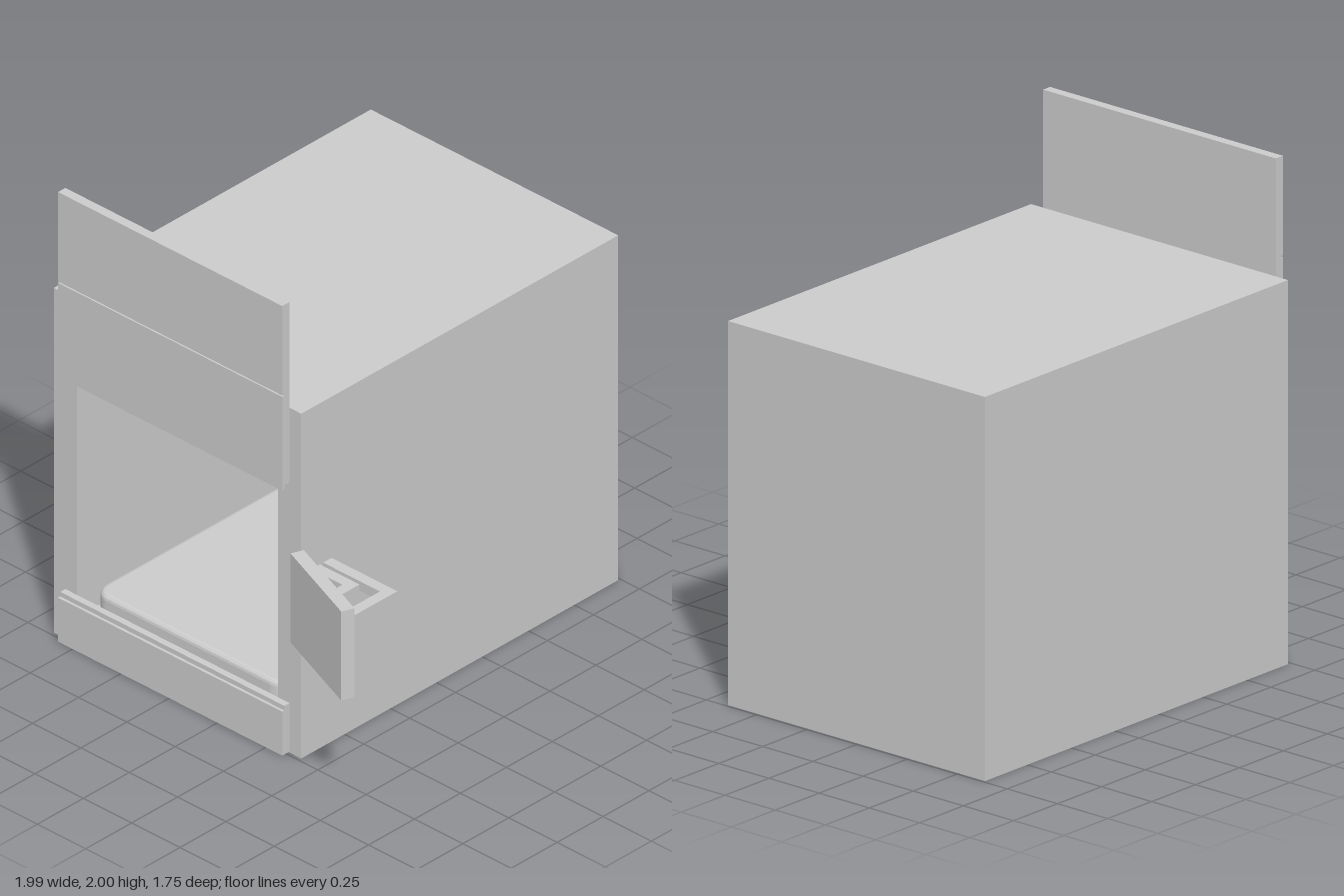
import * as THREE from 'three';

const material = new THREE.MeshStandardMaterial({ color: 0xcccccc });

function addMesh(parent, name, geometry) {
  const mesh = new THREE.Mesh(geometry, material);
  mesh.name = name;
  parent.add(mesh);
  return mesh;
}

// Box given by its minimum and maximum corners
function addBox(parent, name, [x0, y0, z0], [x1, y1, z1]) {
  const mesh = addMesh(parent, name, new THREE.BoxGeometry(x1 - x0, y1 - y0, z1 - z0));
  mesh.position.set((x0 + x1) / 2, (y0 + y1) / 2, (z0 + z1) / 2);
  return mesh;
}

const rectPoints = (x0, y0, x1, y1) => [[x0, y0], [x1, y0], [x1, y1], [x0, y1]].map(p => new THREE.Vector2(...p));

// Rounded rectangle centred on the origin
function roundedRect(w, h, r) {
  const s = new THREE.Shape();
  const x = w / 2 - r, y = h / 2 - r;
  s.absarc(x, y, r, 0, Math.PI / 2);
  s.absarc(-x, y, r, Math.PI / 2, Math.PI);
  s.absarc(-x, -y, r, Math.PI, Math.PI * 1.5);
  s.absarc(x, -y, r, Math.PI * 1.5, Math.PI * 2);
  s.closePath();
  return s;
}

export function createModel() {
  const model = new THREE.Group();
  model.name = 'chamberWithLiftDoor';

  // Hollow cabinet, open on the -x side
  const cabinet = new THREE.Group();
  cabinet.name = 'cabinet';
  model.add(cabinet);
  const wall = 0.12, xOpen = -0.735, xEnd = 0.99;
  const section = new THREE.Shape(rectPoints(-0.88, 0, 0.40, 1.53));
  section.holes.push(new THREE.Path(rectPoints(-0.88 + wall, wall, 0.40 - wall, 1.53 - wall)));
  const shell = new THREE.ExtrudeGeometry(section, { depth: xEnd - wall - xOpen, bevelEnabled: false });
  shell.rotateY(-Math.PI / 2).translate(xEnd - wall, 0, 0);
  addMesh(cabinet, 'cabinetShell', shell);
  addBox(cabinet, 'endWall', [xEnd - wall, 0, -0.88], [xEnd, 1.53, 0.40]);

  // Rounded table on the chamber floor
  const bevel = 0.02;
  const table = new THREE.ExtrudeGeometry(roundedRect(1.45, 0.94, 0.05), {
    depth: 0.07, bevelSize: bevel, bevelThickness: bevel, bevelSegments: 3, curveSegments: 6,
  });
  table.rotateX(-Math.PI / 2).translate(0.065, wall + bevel, -0.24);
  addMesh(model, 'table', table);

  // Split door: two panels raised, one lowered, with overlapping lips
  const door = new THREE.Group();
  door.name = 'door';
  model.add(door);
  const xOut = -0.775, xLip = -0.763, z0 = -0.82, z1 = 0.34;
  for (const [name, y0, y1] of [['lowerDoorPanel', 0.005, 0.2], ['middleDoorPanel', 1.2, 1.597], ['upperDoorPanel', 1.603, 2]]) {
    addBox(door, name, [xOut, y0, z0], [xOpen, y1, z1]);
  }
  addBox(door, 'lowerDoorLip', [xLip, 0.2, z0], [xOpen, 0.22, z1]);
  addBox(door, 'middleDoorLip', [xOut, 1.18, z0], [xLip, 1.2, z1]);
  addBox(door, 'doorJoint', [xLip, 1.597, z0], [xOpen, 1.603, z1]);

  // Control panel carried by two nested bent arms
  const control = new THREE.Group();
  control.name = 'controlPanel';
  model.add(control);
  const panel = addMesh(control, 'screenPanel', new THREE.BoxGeometry(0.055, 0.395, 0.45));
  panel.position.set(-0.8875, 0.7725, 0.655);
  panel.rotation.y = -0.374;

  // Each arm: right x, front z, and x where front and rear edges meet the panel
  for (const [name, x, z, endFront, endRear] of [
    ['outerArm', -0.57, 0.74, -0.895, -0.877],
    ['innerArm', -0.633, 0.605, -0.843, -0.825],
  ]) {
    const t = 0.046;
    const points = [[x, 0.4], [x, z], [endFront, z], [endRear, z - t], [x - t, z - t], [x - t, 0.4]];
    const arm = new THREE.ExtrudeGeometry(
      new THREE.Shape(points.map(p => new THREE.Vector2(...p))), { depth: 0.042, bevelEnabled: false });
    arm.rotateX(Math.PI / 2).translate(0, 0.815, 0);
    addMesh(control, name, arm);
  }

  return model;
}
